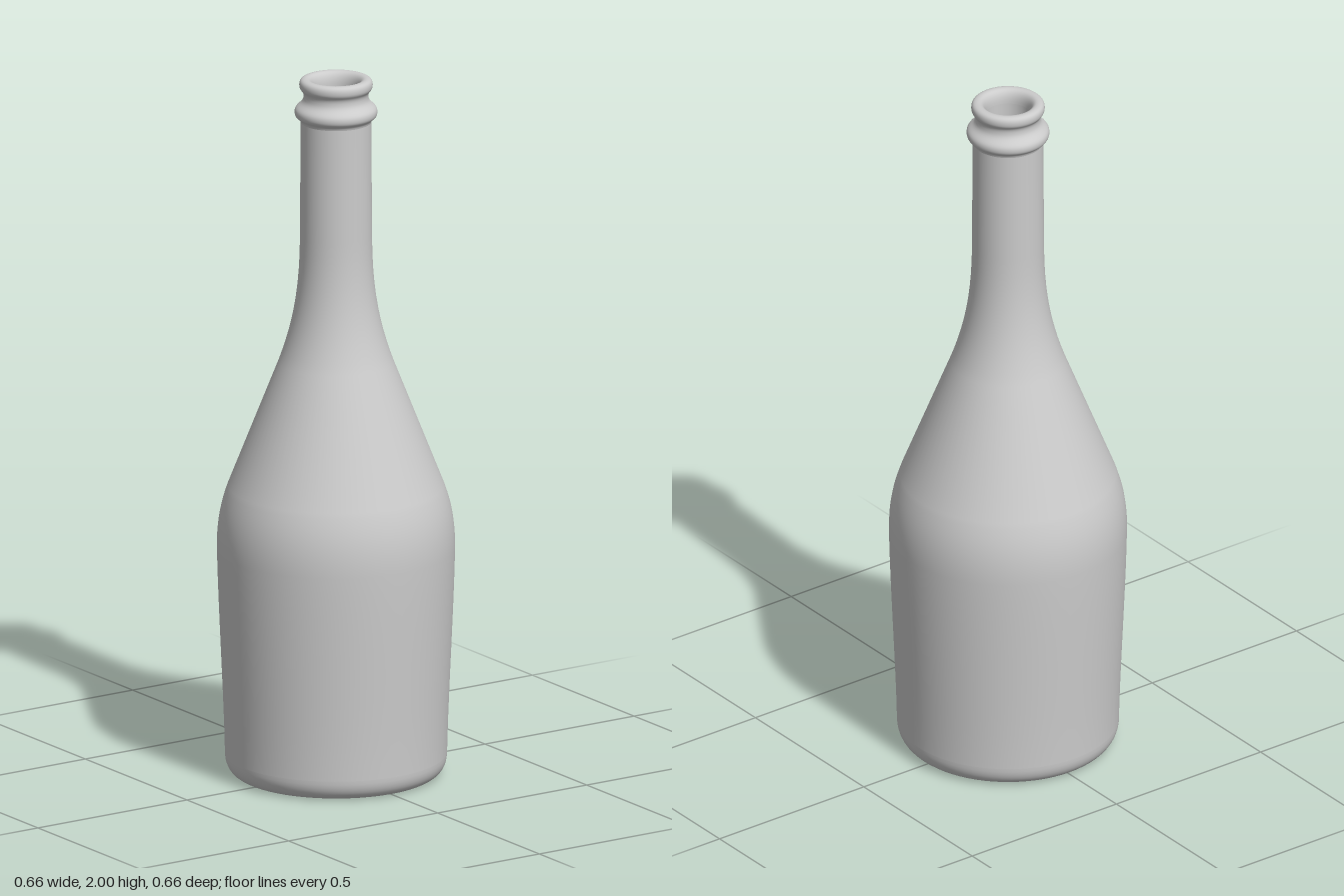
import * as THREE from 'three';

// Sample a path into lathe points, dropping duplicates and keeping x off the negative side
function sample(path, divisions) {
  const pts = path.getPoints(divisions);
  return pts
    .filter((p, i) => i === 0 || p.distanceTo(pts[i - 1]) > 1e-5)
    .map((p) => new THREE.Vector2(Math.max(p.x, 0), p.y));
}

export function createModel() {
  const group = new THREE.Group();
  group.name = 'bottle';
  const glass = new THREE.MeshStandardMaterial({ color: 0xcccccc });

  const addLathe = (name, path) => {
    const mesh = new THREE.Mesh(new THREE.LatheGeometry(sample(path, 10), 72), glass);
    mesh.name = name;
    group.add(mesh);
  };

  // Underside: hollow punt, rounded standing ring and heel
  const base = new THREE.Path();
  base.moveTo(0, 0.15);
  base.bezierCurveTo(0.09, 0.15, 0.14, 0.1, 0.18, 0.045);
  base.bezierCurveTo(0.2, 0.015, 0.215, 0, 0.24, 0);
  base.lineTo(0.262, 0);
  base.bezierCurveTo(0.29, 0, 0.308, 0.025, 0.308, 0.06);
  addLathe('base', base);

  // Body, shoulder and neck
  const body = new THREE.Path();
  body.moveTo(0.308, 0.06);
  body.bezierCurveTo(0.31, 0.2, 0.328, 0.5, 0.33, 0.65);
  body.bezierCurveTo(0.331, 0.73, 0.318, 0.78, 0.3, 0.83);
  body.lineTo(0.16, 1.185);
  body.bezierCurveTo(0.125, 1.28, 0.1, 1.38, 0.1, 1.55);
  body.lineTo(0.098, 1.875);
  addLathe('body', body);

  // Collar ring, waist, rolled lip and the mouth edge
  const finish = new THREE.Path();
  finish.moveTo(0.098, 1.875);
  finish.bezierCurveTo(0.1, 1.89, 0.115, 1.885, 0.115, 1.905);
  finish.bezierCurveTo(0.115, 1.925, 0.09, 1.925, 0.09, 1.95);
  finish.bezierCurveTo(0.09, 1.968, 0.102, 1.965, 0.102, 1.982);
  finish.bezierCurveTo(0.102, 1.996, 0.094, 2, 0.084, 2);
  finish.bezierCurveTo(0.07, 2, 0.062, 1.985, 0.062, 1.96);
  addLathe('lip', finish);

  // Inner wall, down to the raised floor
  const inside = new THREE.Path();
  inside.moveTo(0.062, 1.96);
  inside.lineTo(0.064, 1.55);
  inside.bezierCurveTo(0.064, 1.38, 0.09, 1.28, 0.125, 1.18);
  inside.lineTo(0.265, 0.82);
  inside.bezierCurveTo(0.285, 0.77, 0.295, 0.73, 0.295, 0.65);
  inside.lineTo(0.273, 0.08);
  inside.bezierCurveTo(0.273, 0.03, 0.23, 0.03, 0.21, 0.06);
  inside.bezierCurveTo(0.16, 0.14, 0.1, 0.185, 0, 0.185);
  addLathe('innerWall', inside);

  return group;
}
